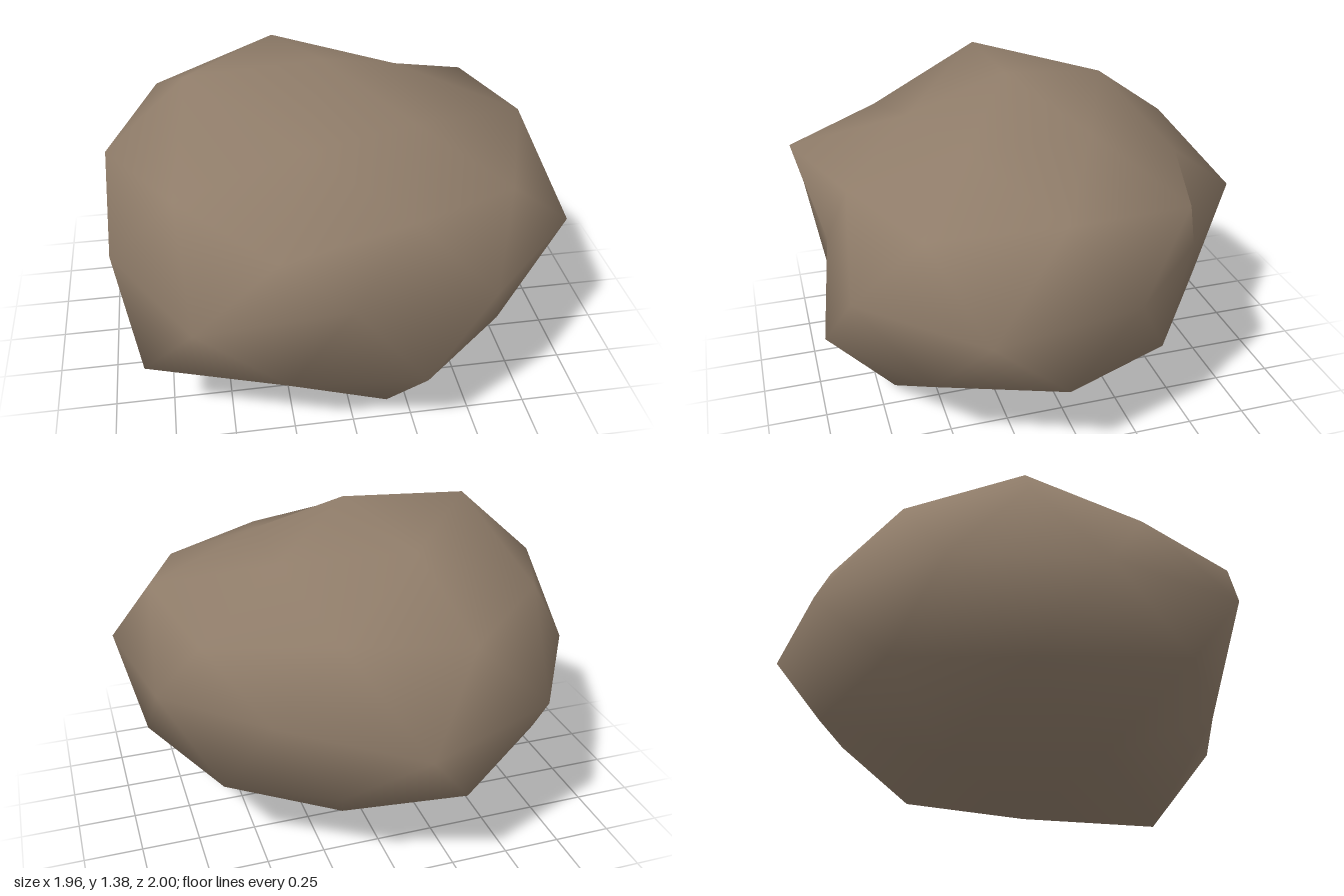
import * as THREE from 'three';

// Rings of a subdivided icosahedron, from top to bottom.
// radii: distance of each point from the vertical axis; start/step: angle from +z towards +x;
// slope: height gained per unit of radius.
const RINGS = {
  crown:    { start: -18, step: 72, slope: 1.133,  radii: [0.42, 0.42, 0.445, 0.51, 0.56] },
  upper:    { start: -18, step: 72, slope: 0.35,   radii: [0.945, 0.85, 0.92, 0.885, 0.91] },
  upperMid: { start: 18,  step: 72, slope: 0.433,  radii: [0.76, 0.857, 0.74, 0.85, 0.8] },
  middle:   { start: 0,   step: 36, slope: 0,      radii: [0.8, 0.96, 1.06, 0.95, 0.855, 1.1, 1.04, 1.0, 0.97, 1.04] },
  lower:    { start: 18,  step: 72, slope: -0.35,  radii: [0.915, 0.92, 0.86, 0.9, 1.01] },
  lowerMid: { start: -18, step: 72, slope: -0.433, radii: [0.82, 0.84, 0.84, 0.885, 0.8] },
  base:     { start: 18,  step: 72, slope: -1.133, radii: [0.61, 0.46, 0.53, 0.52, 0.51] },
};
const CENTRE = { x: -0.03, y: 0.72, z: 0.1 };

function boulderGeometry() {
  const positions = [];
  const addPoint = (x, y, z) => {
    positions.push(CENTRE.x + x, CENTRE.y + y, CENTRE.z + z);
    return positions.length / 3 - 1;
  };

  // Each ring becomes a function that returns a wrapped point index
  const addRing = ({ start, step, slope, radii }) => {
    const ids = radii.map((r, i) => {
      const a = THREE.MathUtils.degToRad(start + step * i);
      return addPoint(r * Math.sin(a), r * slope, r * Math.cos(a));
    });
    return (i) => ids[i % ids.length];
  };

  const top = addPoint(0, 0.67, 0);
  const T = addRing(RINGS.crown);
  const V = addRing(RINGS.upper);
  const M = addRing(RINGS.upperMid);
  const E = addRing(RINGS.middle);
  const L = addRing(RINGS.lower);
  const N = addRing(RINGS.lowerMid);
  const B = addRing(RINGS.base);
  const bottom = addPoint(0, -0.715, 0);

  // Five identical sectors of sixteen triangles
  const index = [];
  for (let k = 0; k < 5; k++) {
    const n = k + 1;
    const e0 = E(2 * k), e1 = E(2 * k + 1), e2 = E(2 * k + 2);
    index.push(
      // crown
      top, T(k), T(n),
      T(k), V(k), M(k),
      T(k), M(k), T(n),
      T(n), M(k), V(n),
      // sides
      V(k), e0, M(k),
      M(k), e0, e1,
      M(k), e1, V(n),
      e0, L(k), e1,
      V(n), e1, e2,
      e1, L(k), N(n),
      e1, N(n), e2,
      e2, N(n), L(n),
      // underside
      L(k), B(k), N(n),
      N(n), B(k), B(n),
      N(n), B(n), L(n),
      bottom, B(n), B(k),
    );
  }

  const geometry = new THREE.BufferGeometry();
  geometry.setAttribute('position', new THREE.Float32BufferAttribute(positions, 3));
  geometry.setIndex(index);
  geometry.computeVertexNormals();
  return geometry;
}

export function createModel() {
  const stone = new THREE.MeshStandardMaterial({ color: 0x8f7c69 });
  stone.name = 'brown stone';

  const boulder = new THREE.Mesh(boulderGeometry(), stone);
  boulder.name = 'boulder';

  const model = new THREE.Group();
  model.name = 'rock';
  model.add(boulder);
  return model;
}
